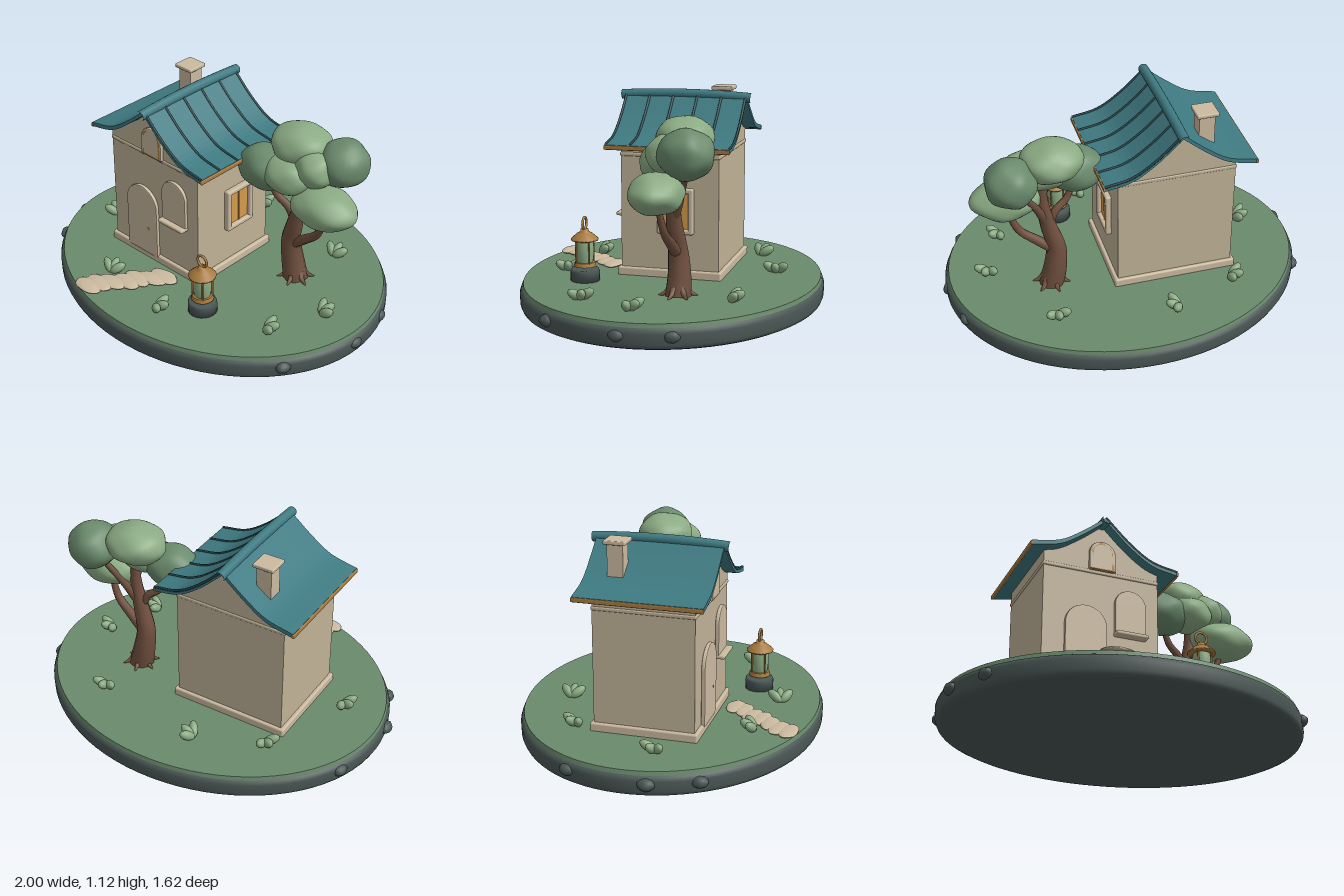
import * as THREE from 'three';
import { mergeVertices } from 'three/addons/utils/BufferGeometryUtils.js';
import { RoundedBoxGeometry } from 'three/addons/geometries/RoundedBoxGeometry.js';

const mat = (name, color) => {
  const m = new THREE.MeshStandardMaterial({ color });
  m.name = name;
  return m;
};
const V = (x, y, z = 0) => new THREE.Vector3(x, y, z);

export function createModel() {
  const wall = mat('plaster', 0xc0b297), trim = mat('paleStone', 0xcbbaa0);
  const teal = mat('tealTile', 0x3f7a82), rib = mat('darkTeal', 0x24454a);
  const brass = mat('brass', 0xa87b3e), amber = mat('amberGlass', 0xd69b4c);
  const bark = mat('bark', 0x70503f), leaf = mat('lightLeaf', 0x8bab84);
  const grass = mat('grassGreen', 0x6a8a6c), stone = mat('darkStone', 0x4b5856);

  const model = new THREE.Group();
  const group = (name, parent = model) => {
    const g = new THREE.Group();
    g.name = name;
    parent.add(g);
    return g;
  };
  const add = (parent, name, geo, material, x = 0, y = 0, z = 0) => {
    const m = new THREE.Mesh(geo, material);
    m.name = name;
    m.position.set(x, y, z);
    parent.add(m);
    return m;
  };
  const box = (w, h, d) => new THREE.BoxGeometry(w, h, d);
  const rbox = (w, h, d, r = 0.01) => new RoundedBoxGeometry(w, h, d, 2, r);
  const lathe = (pts, n) => new THREE.LatheGeometry(pts.map(p => new THREE.Vector2(...p)), n);

  // Lumpy sphere for foliage and stones
  const blob = (detail, amp, seed) => {
    let g = new THREE.IcosahedronGeometry(1, detail);
    g.deleteAttribute('uv');
    g.deleteAttribute('normal');
    g = mergeVertices(g, 1e-4);
    const p = g.attributes.position, v = V(0, 0);
    for (let i = 0; i < p.count; i++) {
      v.fromBufferAttribute(p, i);
      const n = Math.sin(v.x * 5 + seed) * Math.sin(v.y * 5 + seed * 2) + Math.sin(v.z * 6 + v.x * 3 + seed * 3) * 0.6;
      v.multiplyScalar(1 + amp * n);
      p.setXYZ(i, v.x, v.y, v.z);
    }
    g.computeVertexNormals();
    return g;
  };

  // Tube narrowing from r0 to r1
  const taper = (pts, r0, r1, n = 24, k = 10) => {
    const curve = new THREE.CatmullRomCurve3(pts);
    const g = new THREE.TubeGeometry(curve, n, 1, k);
    const p = g.attributes.position, v = V(0, 0);
    for (let i = 0; i < p.count; i++) {
      const t = Math.floor(i / (k + 1)) / n, c = curve.getPointAt(t);
      v.fromBufferAttribute(p, i).sub(c).multiplyScalar(r0 + (r1 - r0) * t).add(c);
      p.setXYZ(i, v.x, v.y, v.z);
    }
    return g;
  };

  // Island: stone rim, grass top, embedded rim rocks
  const island = group('island');
  add(island, 'stoneBase', lathe([[0, 0], [0.95, 0], [0.972, 0.01], [0.982, 0.03], [0.984, 0.085], [0.975, 0.108], [0.95, 0.118]], 80), stone).scale.z = 0.825;
  const lawnGeo = new THREE.CylinderGeometry(0.962, 0.968, 0.022, 80);
  add(island, 'lawn', lawnGeo, grass, 0, 0.122, 0).scale.z = 0.825;
  [[0.965, 0.02], [0.92, -0.24], [0.83, 0.42], [-0.965, 0.14], [-0.91, -0.28], [-0.86, 0.38]].forEach(([x, z], i) => {
    const r = add(island, 'rimRock', blob(2, 0.05, i), stone, x, 0.07, z);
    r.scale.set(0.036, 0.032, 0.045);
  });

  // House walls
  const house = group('house');
  add(house, 'foundation', rbox(0.68, 0.05, 0.575), trim, -0.23, 0.152, 0);
  add(house, 'walls', box(0.64, 0.67, 0.54), wall, -0.23, 0.465, 0);
  add(house, 'cornice', rbox(0.652, 0.022, 0.552, 0.008), wall, -0.23, 0.795, 0);

  // Roof slopes from swept curves, and the gable below them
  const slopes = {
    left: [V(-0.23, 1.085), V(-0.355, 0.982), V(-0.48, 0.9), V(-0.638, 0.862)],
    right: [V(-0.23, 1.085), V(-0.09, 0.953), V(0.035, 0.872), V(0.18, 0.842)],
  };
  const extrude = (shape, depth, bevel = 0) => new THREE.ExtrudeGeometry(shape, {
    depth, curveSegments: 20, bevelEnabled: bevel > 0, bevelSize: bevel, bevelThickness: bevel, bevelOffset: -bevel, bevelSegments: 2,
  });
  const gable = new THREE.Shape([[-0.55, 0.79], [0.09, 0.79], [0.09, 0.855], [0.035, 0.872], [-0.09, 0.95], [-0.23, 1.075], [-0.355, 0.98], [-0.48, 0.9], [-0.55, 0.876]].map(p => new THREE.Vector2(...p)));
  add(house, 'gable', extrude(gable, 0.54), wall, 0, 0, -0.27);
  const roof = group('roof', house);
  for (const [side, pts] of Object.entries(slopes)) {
    const curve = new THREE.CatmullRomCurve3(pts);
    const top = curve.getPoints(16);
    const strip = [...top.map(p => new THREE.Vector2(p.x, p.y + 0.012)), ...top.reverse().map(p => new THREE.Vector2(p.x, p.y - 0.012))];
    add(roof, side + 'Slope', extrude(new THREE.Shape(strip), 0.68), teal, 0, 0, -0.345);
    const end = pts[3];
    add(roof, side + 'EaveTrim', rbox(0.014, 0.024, 0.685, 0.005), brass, end.x, end.y - 0.002, -0.005);
    if (side === 'right') {
      const raised = new THREE.CatmullRomCurve3(pts.map(p => V(p.x, p.y + 0.012)));
      for (let i = 0; i < 6; i++) add(roof, 'roofRib', new THREE.TubeGeometry(raised, 20, 0.007, 6), rib, 0, 0, 0.331 - i * 0.1345);
    }
  }
  const ridgeCurve = new THREE.QuadraticBezierCurve3(V(-0.23, 1.077, 0.36), V(-0.23, 1.103, 0), V(-0.23, 1.077, -0.37));
  add(roof, 'ridge', new THREE.TubeGeometry(ridgeCurve, 16, 0.027, 14), teal);

  // Chimney
  add(house, 'chimney', box(0.085, 0.24, 0.085), trim, -0.398, 0.985, -0.18);
  add(house, 'chimneyCap', rbox(0.118, 0.022, 0.118, 0.006), trim, -0.398, 1.112, -0.18);

  // Arched openings: a surround with a hole and a thin panel behind it
  const arch = (hw, h, y0 = 0, C = THREE.Shape) => {
    const s = new C();
    s.moveTo(-hw, y0);
    s.lineTo(hw, y0);
    s.lineTo(hw, h - hw);
    s.absarc(0, h - hw, hw, 0, Math.PI, false);
    s.closePath();
    return s;
  };
  const archFrame = (outer, inner, h, y0) => {
    const s = arch(outer, h);
    s.holes.push(arch(inner, h - (outer - inner), y0, THREE.Path));
    return s;
  };
  const opening = (name, x, y, hw, inner, h, y0, panel, frameMat) => {
    const g = group(name, house);
    g.position.set(x, y, 0.27);
    add(g, 'surround', extrude(archFrame(hw, inner, h, y0), 0.01, 0.006), frameMat, 0, 0, 0.006);
    add(g, 'panel', extrude(arch(inner + 0.003, h - hw + inner + 0.003), 0.006), panel);
    return g;
  };
  const door = opening('frontDoor', -0.318, 0.165, 0.115, 0.088, 0.42, 0.004, teal, trim);
  add(door, 'doorEdging', extrude(archFrame(0.09, 0.084, 0.395, 0.004), 0.008), brass, 0, 0, 0.002);
  for (const x of [-0.044, 0, 0.044]) add(door, 'doorStrip', box(0.006, 0.25, 0.006), brass, x, 0.13, 0.008);
  add(door, 'doorHandle', new THREE.SphereGeometry(0.01, 12, 8), brass, 0.048, 0.165, 0.016);

  const win = opening('frontWindow', -0.072, 0.445, 0.088, 0.062, 0.265, 0.01, amber, trim);
  add(win, 'mullion', box(0.006, 0.2, 0.006), brass, 0, 0.105, 0.008);
  add(win, 'sill', rbox(0.18, 0.022, 0.055, 0.008), trim, 0, 0.005, 0.026);

  const attic = opening('atticWindow', -0.23, 0.805, 0.074, 0.062, 0.168, 0.008, teal, trim);
  add(attic, 'brassEdging', extrude(archFrame(0.066, 0.052, 0.162, 0.01), 0.016), brass, 0, 0, 0.006);
  add(attic, 'mullion', box(0.007, 0.14, 0.006), brass, 0, 0.075, 0.008);

  // Square window on the left wall
  const side = group('sideWindow', house);
  side.position.set(0.09, 0.5, -0.035);
  side.rotation.y = Math.PI / 2;
  for (const s of [-1, 1]) {
    add(side, 'jamb', rbox(0.028, 0.25, 0.05), trim, s * 0.086, 0, 0.005);
    add(side, 'rail', rbox(0.2, 0.028, 0.05), trim, 0, s * 0.111, 0.005);
  }
  add(side, 'pane', box(0.16, 0.21, 0.008), amber, 0, 0, 0.004);
  add(side, 'mullion', box(0.007, 0.2, 0.006), brass, 0, 0, 0.01);

  // Garden path of overlapping flat stones
  const path = group('path');
  for (let i = 0; i < 7; i++) {
    const t = i / 6;
    const s = add(path, 'pathStone', blob(3, 0.04, i * 1.7), trim, -0.075 - 0.25 * t + Math.sin(i * 2.4) * 0.01, 0.145, 0.37 + 0.335 * t);
    s.scale.set(0.088, 0.014, 0.052);
    s.rotation.y = 0.15 * Math.sin(i * 2);
  }

  // Lantern on its stone block
  const lantern = group('lantern');
  lantern.position.set(0.266, 0, 0.42);
  add(lantern, 'pedestal', lathe([[0, 0.13], [0.078, 0.13], [0.078, 0.185], [0.072, 0.198], [0, 0.198]], 20), stone);
  add(lantern, 'foot', new THREE.CylinderGeometry(0.054, 0.06, 0.022, 20), brass, 0, 0.222, 0);
  add(lantern, 'glass', lathe([[0.042, 0.232], [0.047, 0.26], [0.049, 0.3], [0.047, 0.335], [0.042, 0.36]], 20), leaf);
  for (let i = 0; i < 4; i++) {
    const a = Math.PI / 4 + i * Math.PI / 2;
    add(lantern, 'post', new THREE.CylinderGeometry(0.005, 0.005, 0.135, 6), brass, 0.052 * Math.cos(a), 0.295, 0.052 * Math.sin(a));
  }
  add(lantern, 'cap', lathe([[0, 0.35], [0.072, 0.352], [0.074, 0.36], [0.04, 0.39], [0.022, 0.398], [0.022, 0.412], [0, 0.414]], 20), brass);
  add(lantern, 'ring', new THREE.TorusGeometry(0.032, 0.007, 8, 24), brass, 0, 0.443, 0);

  // Tree: trunk, branches, roots and foliage
  const tree = group('tree');
  add(tree, 'trunk', taper([V(0.43, 0.125, -0.14), V(0.405, 0.24, -0.14), V(0.395, 0.36, -0.13), V(0.43, 0.5, -0.12), V(0.458, 0.65, -0.12), V(0.46, 0.82, -0.12)], 0.07, 0.022), bark);
  add(tree, 'leftBranch', taper([V(0.435, 0.49, -0.12), V(0.39, 0.58, -0.11), V(0.32, 0.64, -0.09), V(0.27, 0.76, -0.07)], 0.026, 0.014, 14, 8), bark);
  add(tree, 'rightBranch', taper([V(0.41, 0.35, -0.13), V(0.5, 0.42, -0.12), V(0.59, 0.5, -0.11), V(0.65, 0.66, -0.09)], 0.032, 0.014, 14, 8), bark);
  add(tree, 'backBranch', taper([V(0.44, 0.52, -0.12), V(0.5, 0.66, -0.17), V(0.6, 0.82, -0.23)], 0.026, 0.014, 12, 8), bark);
  for (let i = 0; i < 6; i++) {
    const a = i * Math.PI / 3 + 0.3, c = Math.cos(a), s = Math.sin(a);
    add(tree, 'root', taper([V(0.43 + 0.03 * c, 0.18, -0.14 + 0.03 * s), V(0.43 + 0.065 * c, 0.147, -0.14 + 0.065 * s), V(0.43 + 0.105 * c, 0.13, -0.14 + 0.105 * s)], 0.026, 0.003, 8, 6), bark);
  }
  // Each entry: centre x, y, z, then half sizes
  [
    [0.265, 0.8, -0.06, 0.155, 0.12, 0.125, grass],
    [0.41, 0.95, -0.17, 0.165, 0.105, 0.15, leaf],
    [0.64, 0.9, -0.235, 0.135, 0.13, 0.14, grass],
    [0.64, 0.7, -0.085, 0.19, 0.105, 0.14, leaf],
    [0.42, 0.82, -0.06, 0.14, 0.1, 0.12, leaf],
    [0.55, 0.88, -0.11, 0.11, 0.1, 0.1, leaf],
  ].forEach(([x, y, z, a, b, c, m], i) => add(tree, 'foliage', blob(6, 0.035, i * 1.3), m, x, y, z).scale.set(a, b, c));

  // Small plants: three leaves fanning from one root
  const leafGeo = new THREE.SphereGeometry(1, 12, 8);
  [[-0.165, -0.535, 0], [-0.52, -0.38, 2.6], [-0.725, 0.11, 2.8], [-0.325, 0.52, 1.8], [0.09, 0.58, 0.3], [0.63, 0.32, 0.5], [0.465, -0.43, 1.6], [0.75, 0.02, 1]].forEach(([x, z, turn]) => {
    const plant = group('plant');
    plant.position.set(x, 0.13, z);
    plant.rotation.y = turn;
    for (let i = -1; i <= 1; i++) {
      const a = i * 0.95;
      const l = add(plant, 'plantLeaf', leafGeo, leaf, 0.035 * Math.cos(a) - 0.01, 0.032, -0.038 * Math.sin(a));
      l.scale.set(0.048, 0.026, 0.024);
      l.rotation.set(0, a, 0.55, 'YXZ');
    }
  });

  return model;
}
